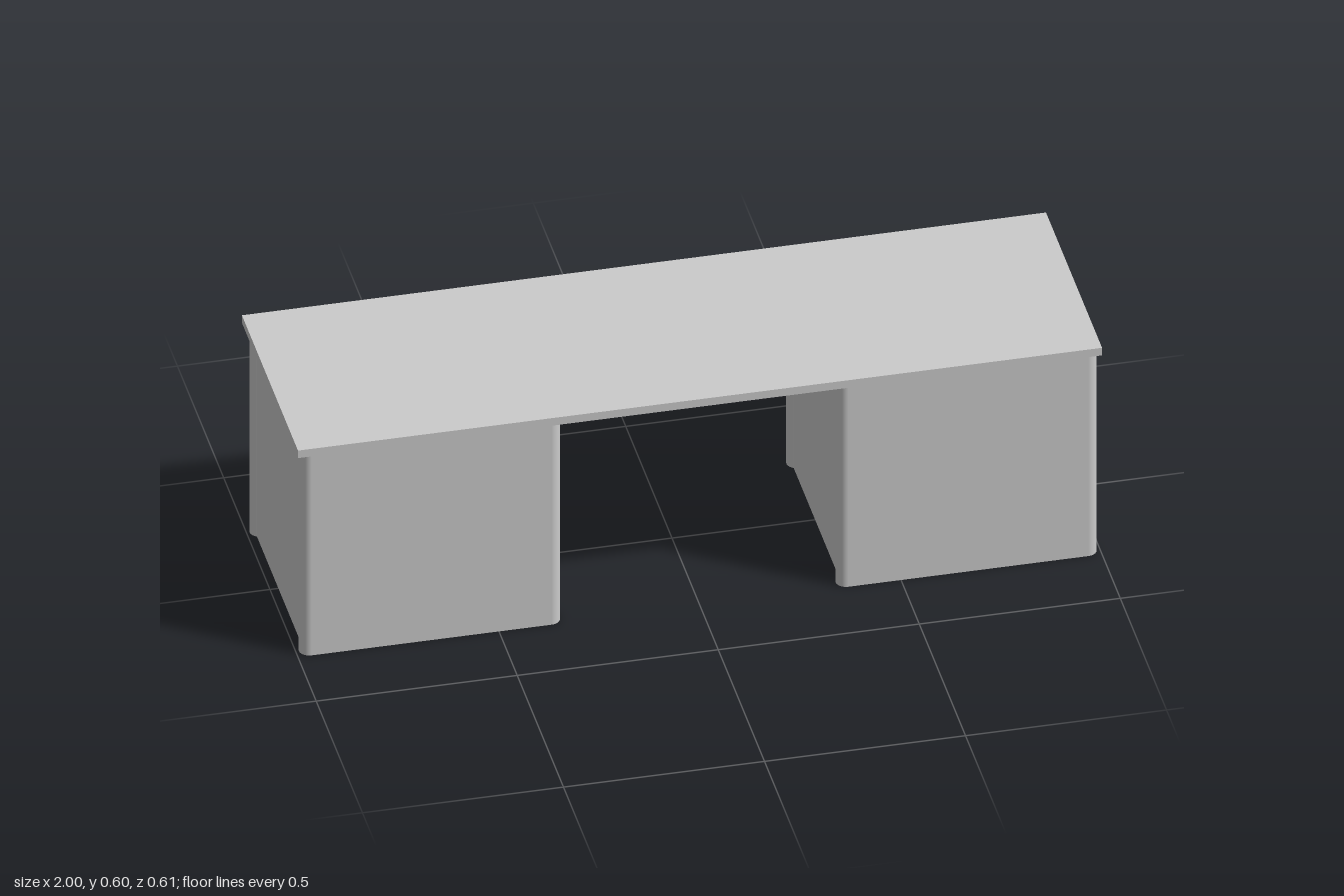
import * as THREE from 'three';

const material = new THREE.MeshStandardMaterial({ color: 0xcccccc, side: THREE.DoubleSide });
const H = 0.58;           // underside of the top
const R = 0.026;          // post radius
const HALF = 0.2985;      // half distance between post axes in x
const FRONT = 0.277;      // front post axis
const BACK = -0.254;      // back post axis

function add(parent, name, geometry, x, y, z) {
  const mesh = new THREE.Mesh(geometry, material);
  mesh.name = name;
  mesh.position.set(x, y, z);
  parent.add(mesh);
  return mesh;
}

// Drawer front with a shallow finger notch in the middle of its upper edge
function drawerGeometry(width, bottom, top) {
  const w = width / 2, n = 0.036, d = 0.009;
  const shape = new THREE.Shape([
    [-w, bottom], [w, bottom], [w, top], [n, top], [n - 0.012, top - d],
    [-n + 0.012, top - d], [-n, top], [-w, top],
  ].map(([x, y]) => new THREE.Vector2(x, y)));
  return new THREE.ExtrudeGeometry(shape, { depth: 0.014, bevelEnabled: false });
}

function createPedestal() {
  const pedestal = new THREE.Group();
  pedestal.name = 'pedestal';

  // Round corner posts
  for (const x of [-HALF, HALF])
    for (const z of [FRONT, BACK])
      add(pedestal, 'cornerPost', new THREE.CylinderGeometry(R, R, H, 32), x, H / 2, z);

  // Side panels between the posts, open at the bottom
  for (const s of [-1, 1])
    add(pedestal, 'sidePanel', new THREE.BoxGeometry(0.008, H, FRONT - BACK),
      s * (HALF + 0.009), H / 2, (FRONT + BACK) / 2);

  // Plain front panel
  add(pedestal, 'frontPanel', new THREE.BoxGeometry(2 * HALF, H, 0.008), 0, H / 2, FRONT + R - 0.004);

  // Drawer fronts with narrow gaps, over a backing panel
  const width = 2 * (HALF - R), gap = 0.007;
  const gaps = [0, 0.16, 0.227, 0.302, 0.43, 0.506, 0.573];
  for (let i = 0; i < gaps.length - 1; i++) {
    const bottom = i === 0 ? 0 : gaps[i] + gap / 2;
    add(pedestal, 'drawerFront', drawerGeometry(width, bottom, gaps[i + 1] - gap / 2), 0, 0, BACK - R + 0.001);
  }
  add(pedestal, 'drawerBacking', new THREE.BoxGeometry(2 * HALF, H, 0.004), 0, H / 2, BACK - R + 0.017);
  return pedestal;
}

export function createModel() {
  const desk = new THREE.Group();
  desk.name = 'desk';

  // Long flat top
  add(desk, 'deskTop', new THREE.BoxGeometry(2, 0.022, 0.606), 0, H + 0.011, 0);

  // Matching drawer pedestals
  for (const s of [-1, 1]) {
    const pedestal = createPedestal();
    pedestal.name = s > 0 ? 'leftPedestal' : 'rightPedestal';
    pedestal.position.x = s * 0.6675;
    desk.add(pedestal);
  }
  return desk;
}
